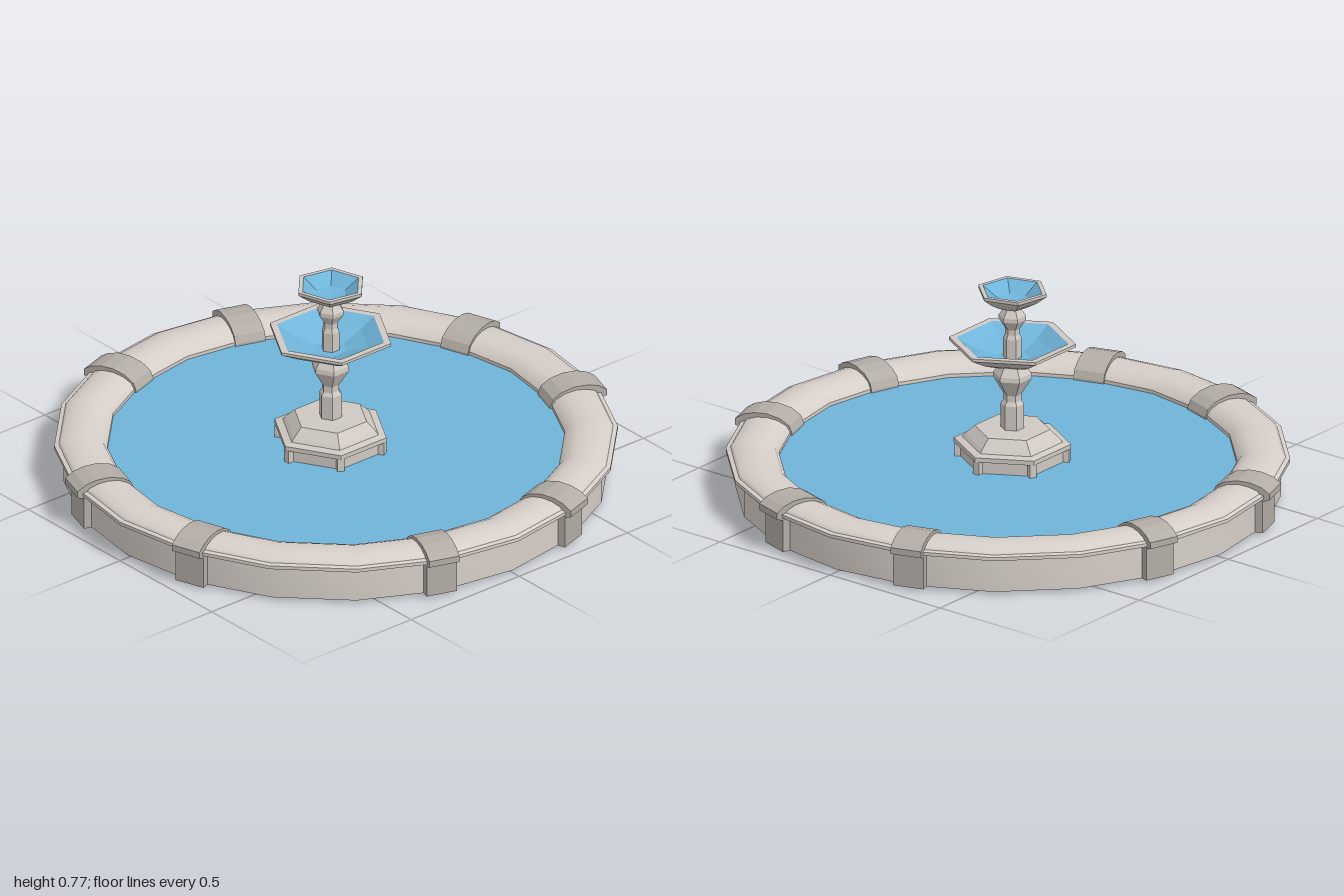
import * as THREE from 'three';
import { toCreasedNormals } from 'three/addons/utils/BufferGeometryUtils.js';

const mat = (color, flatShading = false) =>
  new THREE.MeshStandardMaterial({ color, flatShading, side: THREE.DoubleSide });

const stone = mat(0xd6cec8);
const stoneFlat = mat(0xcfc8c2, true);
const trim = mat(0xb3aca6, true);
const water = mat(0x6fb4d9, true);

const points = (list) => list.map(([r, y]) => new THREE.Vector2(r, y));

function add(parent, name, geometry, material) {
  const mesh = new THREE.Mesh(geometry, material);
  mesh.name = name;
  parent.add(mesh);
  return mesh;
}

// Six-sided turned part; turn = angle of the first corner from +z
const hexTurned = (list, turn = Math.PI / 6) =>
  new THREE.LatheGeometry(points(list), 6, turn);

export function createModel() {
  const model = new THREE.Group();
  model.name = 'fountain';

  // Pool: two thin ring walls, open underneath, capped by a rounded coping
  const ring = (list) => toCreasedNormals(new THREE.LatheGeometry(points(list), 20), 0.6);
  add(model, 'outerWall', ring([[0.965, 0.01], [0.965, 0.14]]), stone);
  add(model, 'innerWall', ring([[0.81, 0.14], [0.81, 0.01]]), stone);
  add(model, 'coping', ring([
    [0.965, 0.135], [0.998, 0.14], [0.998, 0.153], [0.982, 0.157], [0.975, 0.166],
    [0.94, 0.178], [0.9, 0.182], [0.86, 0.176], [0.825, 0.16], [0.81, 0.138],
  ]), stone);
  const pool = new THREE.CircleGeometry(0.81, 20).rotateX(-Math.PI / 2);
  add(model, 'poolWater', pool, water).position.y = 0.127;

  // Eight saddle blocks straddling the pool wall
  const width = 0.115;
  const saddle = new THREE.Shape(points([
    [0.985, 0.01], [0.985, 0.13], [1.01, 0.138], [1.01, 0.162], [0.98, 0.182],
    [0.94, 0.194], [0.89, 0.196], [0.84, 0.184], [0.806, 0.162], [0.794, 0.135],
    [0.794, 0.01], [0.815, 0.01], [0.815, 0.13], [0.955, 0.13], [0.955, 0.01],
  ]));
  const saddleGeo = new THREE.ExtrudeGeometry(saddle, { depth: width, bevelEnabled: false });
  saddleGeo.translate(0, 0, -width / 2);
  for (const degrees of [18, 72, 108, 162, 198, 252, 288, 342]) {
    add(model, 'saddleBlock', saddleGeo, trim).rotation.y = THREE.MathUtils.degToRad(degrees);
  }

  // Centrepiece stands slightly off the middle
  const centre = new THREE.Group();
  centre.name = 'centrepiece';
  centre.position.x = -0.025;
  model.add(centre);

  // Hexagonal plinth with corner posts, hollow below
  add(centre, 'plinthWall', hexTurned([[0.19, 0], [0.19, 0.175]]), stoneFlat);
  const postGeo = new THREE.BoxGeometry(0.022, 0.175, 0.026);
  for (let i = 0; i < 6; i++) {
    const a = (i * Math.PI) / 3;
    const post = add(centre, 'plinthPost', postGeo, stoneFlat);
    post.position.set(Math.cos(a) * 0.194, 0.0875, Math.sin(a) * 0.194);
    post.rotation.y = -a;
  }
  add(centre, 'plinthCap', hexTurned([
    [0.19, 0.172], [0.21, 0.175], [0.21, 0.192], [0.18, 0.198],
    [0.17, 0.21], [0.135, 0.243], [0, 0.245],
  ]), stoneFlat);

  // Lower column and vase
  add(centre, 'lowerColumn', hexTurned([
    [0.042, 0.24], [0.042, 0.335], [0.032, 0.348], [0.032, 0.372], [0.043, 0.39],
    [0.07, 0.435], [0.068, 0.452], [0.045, 0.485], [0.045, 0.5],
  ]), stoneFlat);

  // Lower bowl with its water lining
  add(centre, 'lowerBowl', hexTurned([
    [0, 0.487], [0.07, 0.488], [0.15, 0.52], [0.227, 0.562], [0.227, 0.573], [0.2, 0.573],
  ]), stoneFlat);
  add(centre, 'lowerBowlWater', hexTurned([[0.2, 0.573], [0.14, 0.54], [0.06, 0.512], [0, 0.512]]), water);

  // Upper column and knob
  add(centre, 'upperColumn', hexTurned([
    [0.033, 0.51], [0.033, 0.585], [0.026, 0.6], [0.026, 0.62],
    [0.049, 0.655], [0.049, 0.67], [0.028, 0.7], [0.028, 0.712],
  ]), stoneFlat);

  // Upper bowl, turned a little against the lower one
  const turn = THREE.MathUtils.degToRad(18);
  add(centre, 'upperBowl', hexTurned([
    [0, 0.702], [0.05, 0.703], [0.09, 0.725], [0.129, 0.756], [0.129, 0.767], [0.112, 0.767],
  ], turn), stoneFlat);
  add(centre, 'upperBowlWater', hexTurned([[0.112, 0.767], [0.06, 0.73], [0, 0.722]], turn), water);

  return model;
}
